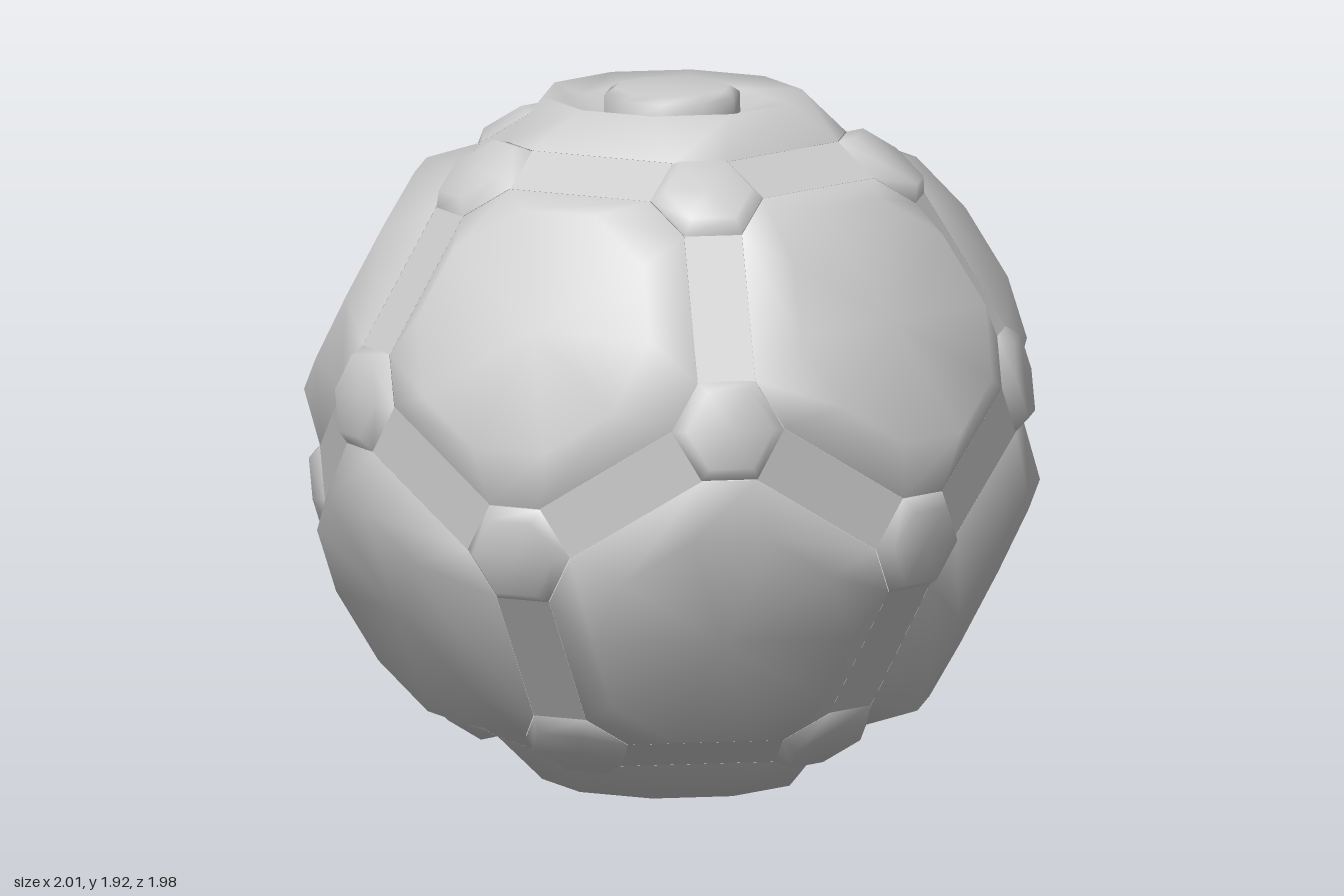
import * as THREE from 'three';

const material = new THREE.MeshStandardMaterial({ color: 0xcccccc, side: THREE.DoubleSide });
const CENTRE = 0.95;
const deg = Math.PI / 180;

// Directions on a dodecahedral frame with one face pointing straight up
function ring(azimuth, y) {
  const r = Math.sqrt(1 - y * y);
  return Array.from({ length: 5 }, (_, k) => {
    const a = (azimuth + 72 * k) * deg;
    return new THREE.Vector3(r * Math.cos(a), y, r * Math.sin(a));
  });
}
const mirrored = (list) => [...list, ...list.map((v) => v.clone().negate())];
const faces = mirrored([new THREE.Vector3(0, 1, 0), ...ring(0, 0.4472)]);
const corners = mirrored([...ring(36, 0.7947), ...ring(36, 0.1876)]);

function nearest(v, list) {
  return list.filter((o) => o !== v).reduce((a, b) => (b.distanceTo(v) < a.distanceTo(v) ? b : a));
}

// Turn a mesh so its local y is the outward normal and local x heads toward a neighbour
function orient(mesh, normal, toward) {
  const y = normal.clone().normalize();
  const x = toward.clone().addScaledVector(y, -toward.dot(y)).normalize();
  mesh.quaternion.setFromRotationMatrix(new THREE.Matrix4().makeBasis(x, y, x.clone().cross(y)));
  return mesh;
}

// Smooth cap from polygon rings, outermost first: { r, h, half } where half is
// half the angle covered by the sides that face the neighbours
function cap(rings, fold, topHeight) {
  const n = fold * 2, pos = [], idx = [];
  for (const { r, h, half = 180 / n } of rings) {
    for (let i = 0; i < n; i++) {
      const a = (Math.floor(i / 2) * (360 / fold) + (i % 2 ? half : -half)) * deg;
      pos.push(r * Math.cos(a), h, r * Math.sin(a));
    }
  }
  for (let k = 0; k < rings.length - 1; k++) {
    for (let i = 0; i < n; i++) {
      const j = (i + 1) % n, o = k * n, p = o + n;
      idx.push(o + i, p + i, o + j, p + i, p + j, o + j);
    }
  }
  // Closing fan
  if (topHeight !== undefined) {
    const last = (rings.length - 1) * n, c = rings.length * n;
    pos.push(0, topHeight, 0);
    for (let i = 0; i < n; i++) idx.push(c, last + ((i + 1) % n), last + i);
  }
  const g = new THREE.BufferGeometry();
  g.setAttribute('position', new THREE.Float32BufferAttribute(pos, 3));
  g.setIndex(idx);
  g.computeVertexNormals();
  return g;
}

export function createModel() {
  const model = new THREE.Group();
  const ball = new THREE.Group();
  ball.name = 'ball';
  ball.position.y = CENTRE;
  model.add(ball);
  const add = (name, geometry, normal, toward) => {
    const mesh = orient(new THREE.Mesh(geometry, material), normal, toward);
    mesh.name = name;
    ball.add(mesh);
  };

  // Large ten-sided panels; the top one is dished around a button
  const rim = { r: 0.477, h: 0.842, half: 26.8 };
  const shoulder = { r: 0.36, h: 0.95 };
  const panel = cap([rim, shoulder], 5, 0.95);
  const dished = cap([rim, shoulder, { r: 0.28, h: 0.925 }, { r: 0.18, h: 0.89 }], 5, 0.89);
  faces.forEach((f, i) => add(i ? 'largePanel' : 'topPanel', i ? panel : dished, f, nearest(f, faces)));

  // Button
  const button = cap([{ r: 0.19, h: 0.89 }, { r: 0.188, h: 0.95 }, { r: 0.16, h: 0.968 }], 5, 0.972);
  add('topButton', button, faces[0], nearest(faces[0], faces));

  // Six-sided studs where three panels meet
  const stud = cap([{ r: 0.156, h: 0.955 }, { r: 0.122, h: 0.995 }], 3, 0.995);
  corners.forEach((c) => add('hexStud', stud, c, nearest(c, corners)));

  // Flat strips joining neighbouring studs
  const strip = new THREE.PlaneGeometry(0.432, 0.16).rotateX(-Math.PI / 2).translate(0, 0.94, 0);
  corners.forEach((a, i) => corners.slice(i + 1).forEach((b) => {
    if (a.distanceTo(b) < 0.75) add('strip', strip, a.clone().add(b), b.clone().sub(a));
  }));
  return model;
}
